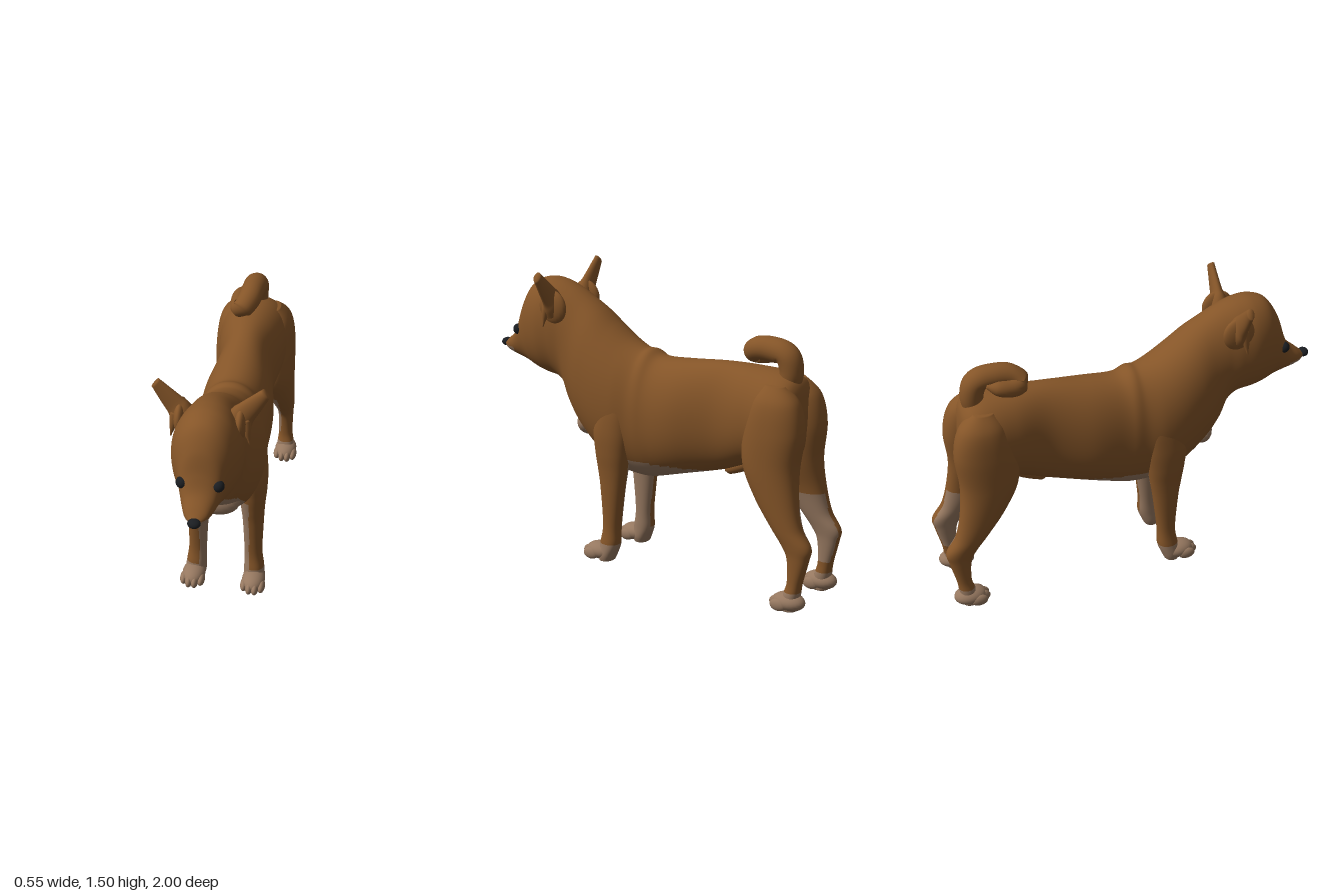
import * as THREE from 'three';

const mat = (name, color) => Object.assign(new THREE.MeshStandardMaterial({ color }), { name });
const V = (x, y, z) => new THREE.Vector3(x, y, z);

// Catmull-Rom subdivision of rows of numbers
function smooth(rows, n) {
  const out = [], at = i => rows[Math.min(Math.max(i, 0), rows.length - 1)];
  for (let i = 0; i < rows.length - 1; i++) {
    for (let k = 0; k < n; k++) {
      const t = k / n;
      out.push(at(i).map((b, j) => {
        const a = at(i - 1)[j], c = at(i + 1)[j], d = at(i + 2)[j];
        return b + 0.5 * t * (c - a + t * (2 * a - 5 * b + 4 * c - d + t * (3 * (b - c) + d - a)));
      }));
    }
  }
  out.push(rows[rows.length - 1]);
  return out;
}

// Skin over rings {c, u, v}; faces whose centre passes isPale use the second material
function loft(name, rings, mats, isPale = () => false, seg = 48, power = 1) {
  const pts = [], main = [], pale = [], R = rings.length;
  const bend = k => Math.sign(k) * Math.abs(k) ** power;
  for (const { c, u, v } of rings) {
    for (let j = 0; j < seg; j++) {
      const a = j / seg * Math.PI * 2;
      pts.push(c.clone().addScaledVector(u, bend(Math.cos(a))).addScaledVector(v, bend(Math.sin(a))));
    }
  }
  pts.push(rings[0].c, rings[R - 1].c);
  // turn the skin outward whatever the ring direction
  const along = rings[R >> 1].c.clone().sub(rings[(R >> 1) - 1].c);
  const flip = V(0, 0, 0).crossVectors(rings[R >> 1].u, rings[R >> 1].v).dot(along) < 0;
  const add = (...quad) => {
    const mid = V(0, 0, 0);
    quad.forEach(i => mid.addScaledVector(pts[i], 1 / quad.length));
    if (flip) quad.reverse();
    const list = isPale(mid) ? pale : main;
    for (let i = 2; i < quad.length; i++) list.push(quad[0], quad[i - 1], quad[i]);
  };
  for (let j = 0; j < seg; j++) {
    const k = (j + 1) % seg, e = (R - 1) * seg;
    for (let i = 0; i < R - 1; i++) add(i * seg + j, i * seg + k, (i + 1) * seg + k, (i + 1) * seg + j);
    add(R * seg, k, j);
    add(R * seg + 1, e + j, e + k);
  }
  const g = new THREE.BufferGeometry().setFromPoints(pts);
  g.setIndex([...main, ...pale]);
  g.addGroup(0, main.length, 0);
  g.addGroup(main.length, pale.length, 1);
  g.computeVertexNormals();
  const mesh = new THREE.Mesh(g, mats);
  mesh.name = name;
  return mesh;
}

// Rings along a path with a radius at each point
function tube(name, rows, mats, n = 6) {
  const curve = new THREE.CatmullRomCurve3(rows.map(r => V(r[0], r[1], r[2])));
  const N = (rows.length - 1) * n, f = curve.computeFrenetFrames(N), radii = smooth(rows.map(r => [r[3]]), n);
  const rings = radii.map(([r], i) => ({
    c: curve.getPoint(i / N),
    u: f.normals[i].clone().multiplyScalar(r), v: f.binormals[i].clone().multiplyScalar(r),
  }));
  return loft(name, rings, mats, undefined, 24);
}

// Horizontal leg sections: y, front z, back z, inner x, outer x
function leg(name, rows, side, mats, isPale) {
  const rings = smooth(rows, 9).map(([y, zf, zb, xi, xo]) => ({
    c: V(side * (xi + xo) / 2, y, (zf + zb) / 2), u: V((xo - xi) / 2, 0, 0), v: V(0, 0, (zf - zb) / 2),
  }));
  return loft(name, rings, mats, isPale, 56, 0.9);
}

function ball(name, material, p, s) {
  const m = new THREE.Mesh(new THREE.SphereGeometry(1, 24, 16), material);
  m.name = name;
  m.position.set(...p);
  m.scale.set(...s);
  return m;
}

export function createModel() {
  const brown = mat('brown coat', 0x855528), cream = mat('cream fur', 0x967860), black = mat('black', 0x1b1e22);
  const coat = [brown, cream];
  const dog = new THREE.Group();
  dog.name = 'dog';

  // Torso, neck and head: top z, top y, bottom z, bottom y, half width
  const body = [
    [-0.86, 0.96, -0.86, 0.88, 0.04], [-0.84, 1.08, -0.84, 0.75, 0.15], [-0.77, 1.135, -0.77, 0.67, 0.195],
    [-0.6, 1.145, -0.6, 0.655, 0.172], [-0.42, 1.14, -0.42, 0.585, 0.146], [-0.2, 1.115, -0.2, 0.52, 0.182],
    [-0.05, 1.105, -0.05, 0.475, 0.184], [0.02, 1.132, 0.0, 0.463, 0.188], [0.07, 1.132, 0.07, 0.46, 0.19],
    [0.15, 1.165, 0.16, 0.475, 0.205], [0.24, 1.225, 0.28, 0.535, 0.204], [0.33, 1.295, 0.4, 0.635, 0.188],
    [0.42, 1.35, 0.48, 0.74, 0.165], [0.5, 1.39, 0.515, 0.84, 0.158], [0.58, 1.415, 0.57, 0.895, 0.165],
    [0.66, 1.42, 0.65, 0.91, 0.168], [0.74, 1.39, 0.72, 0.925, 0.147], [0.8, 1.3, 0.78, 0.945, 0.113],
    [0.835, 1.19, 0.84, 0.963, 0.092], [0.87, 1.115, 0.89, 0.975, 0.075], [0.925, 1.065, 0.93, 0.988, 0.055],
    [0.96, 1.035, 0.955, 1.0, 0.03],
  ];
  const bodyRings = smooth(body, 9).map(([zt, yt, zb, yb, w]) => ({
    c: V(0, (yt + yb) / 2, (zt + zb) / 2), u: V(0, (yt - yb) / 2, (zt - zb) / 2), v: V(w, 0, 0),
  }));
  dog.add(loft('body', bodyRings, coat, p =>
    (p.y < 0.572 && p.z > -0.42 && p.z < 0.3) ||
    (p.z > 0.27 && p.z < 0.53 && (p.x / 0.12) ** 4 + (Math.max(p.y - 0.66, 0) / 0.115) ** 4 < 1) ||
    (p.z > 0.87 && p.y < 1.02), 96, 0.95));
  dog.add(ball('chestTuft', cream, [0, 0.69, 0.4], [0.112, 0.075, 0.066]));

  // Curled tail and belly sheath
  dog.add(tube('tail', [
    [0, 1.06, -0.765, 0.055], [0, 1.15, -0.78, 0.059], [0, 1.22, -0.755, 0.062], [-0.005, 1.238, -0.67, 0.061],
    [-0.015, 1.228, -0.58, 0.058], [-0.045, 1.195, -0.54, 0.052], [-0.068, 1.19, -0.6, 0.046],
    [-0.072, 1.205, -0.67, 0.036], [-0.06, 1.22, -0.72, 0.01],
  ], coat));
  dog.add(tube('bellySheath', [
    [0, 0.575, -0.42, 0.008], [0, 0.585, -0.44, 0.025], [0, 0.63, -0.53, 0.034], [0, 0.68, -0.62, 0.03],
  ], coat));

  const foreleg = [
    [0.98, 0.18, 0.12, 0.1, 0.15], [0.87, 0.245, 0.06, 0.06, 0.195], [0.72, 0.28, 0.06, 0.06, 0.213],
    [0.6, 0.27, 0.075, 0.07, 0.211], [0.5, 0.255, 0.09, 0.08, 0.202], [0.4, 0.24, 0.105, 0.09, 0.197],
    [0.2, 0.225, 0.128, 0.1, 0.192], [0.1, 0.238, 0.13, 0.1, 0.203], [0.04, 0.245, 0.15, 0.1, 0.21],
    [0.005, 0.24, 0.165, 0.11, 0.205],
  ];
  const hindLeg = [
    [1.1, -0.7, -0.8, 0.06, 0.13], [1.02, -0.64, -0.88, 0.015, 0.188], [0.88, -0.6, -0.912, 0.004, 0.21],
    [0.7, -0.6, -0.895, 0.02, 0.212], [0.55, -0.675, -0.908, 0.06, 0.208], [0.42, -0.77, -0.94, 0.085, 0.202],
    [0.335, -0.835, -0.994, 0.1, 0.195], [0.27, -0.87, -0.985, 0.108, 0.19], [0.15, -0.878, -0.955, 0.113, 0.19],
    [0.08, -0.86, -0.945, 0.108, 0.2], [0.005, -0.85, -0.935, 0.11, 0.2],
  ];
  // Ear sections: x, y, half length across, half thickness in z
  const ear = [
    [0.13, 1.3, 0.07, 0.05], [0.148, 1.33, 0.066, 0.042], [0.168, 1.362, 0.055, 0.03],
    [0.212, 1.418, 0.042, 0.023], [0.257, 1.477, 0.027, 0.018],
  ];

  for (const side of [1, -1]) {
    const label = side > 0 ? 'left' : 'right';
    dog.add(leg(label + 'Foreleg', foreleg, side, coat, p => p.y < 0.1 || (p.y < 0.56 && Math.abs(p.x) < 0.13)));
    dog.add(leg(label + 'HindLeg', hindLeg, side, coat,
      p => p.y < 0.1 || (p.y < 0.52 && p.y > 0.16 && Math.abs(p.x) < 0.13)));

    // Paws with four toes each
    for (const [kind, z] of [['Fore', 0.24], ['Hind', -0.89]]) {
      const paw = new THREE.Group();
      paw.name = label + kind + 'Paw';
      paw.add(ball('pad', cream, [side * 0.158, 0.046, z], [0.06, 0.046, 0.085]));
      for (let i = 0; i < 4; i++) {
        const mid = i === 1 || i === 2;
        paw.add(ball('toe', cream, [side * (0.114 + i * 0.03), 0.034, z + (mid ? 0.055 : 0.035)],
          [0.02, mid ? 0.034 : 0.031, 0.045]));
      }
      dog.add(paw);
    }

    // Upright ear, its rounded root on the skull and the pointed fold below
    const earRings = smooth(ear, 5).map(([x, y, h, d]) => ({
      c: V(side * x, y, 0.548 + (y - 1.3) * 0.02), u: V(side * h * 0.62, -h * 0.78, 0), v: V(0, 0, d),
    }));
    dog.add(loft(label + 'Ear', earRings, coat, undefined, 32));
    dog.add(ball(label + 'EarRoot', brown, [side * 0.142, 1.3, 0.545], [0.032, 0.088, 0.082]));
    dog.add(tube(label + 'EarFold', [
      [side * 0.165, 1.33, 0.56, 0.024], [side * 0.173, 1.27, 0.57, 0.019], [side * 0.186, 1.2, 0.578, 0.003],
    ], coat));

    dog.add(ball(label + 'Eye', black, [side * 0.084, 1.131, 0.822], [0.029, 0.029, 0.029]));
  }
  dog.add(ball('nose', black, [0, 1.022, 0.973], [0.031, 0.022, 0.027]));
  return dog;
}
